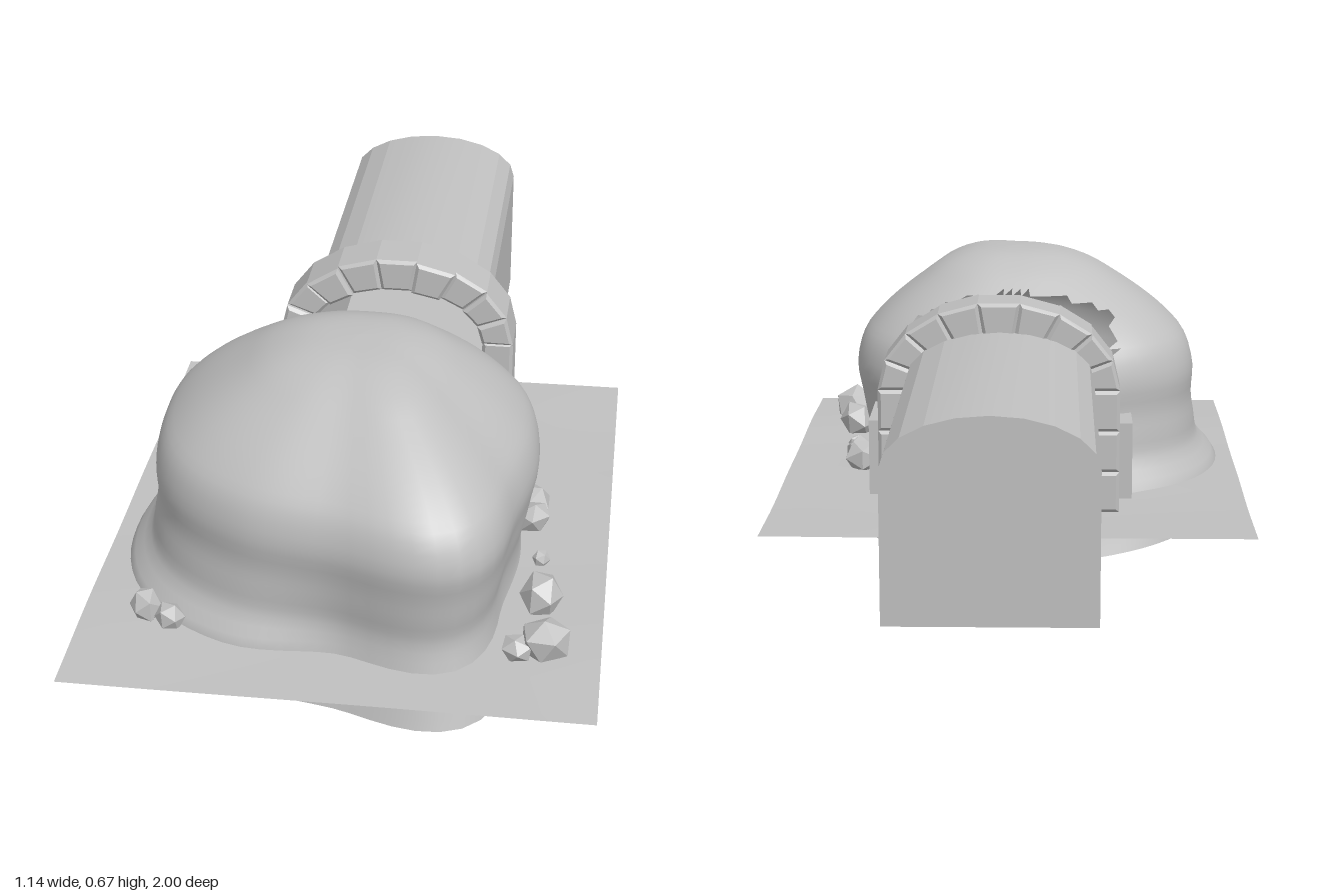
import * as THREE from 'three';
import { toCreasedNormals } from 'three/addons/utils/BufferGeometryUtils.js';

const stone = new THREE.MeshStandardMaterial({ color: 0xc0c0c0, side: THREE.DoubleSide });
stone.name = 'grey stone';

const GROUND = 0.125;
const TUNNEL_X = 0.022;

function add(parent, name, geometry, x = 0, y = 0, z = 0) {
  const mesh = new THREE.Mesh(geometry, stone);
  mesh.name = name;
  mesh.position.set(x, y, z);
  parent.add(mesh);
  return mesh;
}

// Flat facets
function faceted(geometry) {
  const g = geometry.index ? geometry.toNonIndexed() : geometry;
  g.computeVertexNormals();
  return g;
}

// Radius for every 30 degrees, from +x round towards +z
const BASE = [.43, .44, .57, .46, .46, .48, .49, .53, .57, .60, .54, .46];
const SKIRT = [.37, .40, .53, .43, .49, .53, .53, .53, .50, .60, .50, .40];
const BULGE = [.405, .43, .55, .44, .44, .46, .46, .48, .43, .40, .42, .42];

// Smooth periodic lookup of a footprint
function radius(list, turn) {
  const n = list.length, s = turn * n, i = Math.floor(s), t = s - i;
  const [a, b, c, d] = [-1, 0, 1, 2].map(k => list[(i + k + n) % n]);
  return b + 0.5 * t * (c - a + t * (2 * a - 5 * b + 4 * c - d + t * (3 * (b - c) + d - a)));
}

// Lobed hill, cut open at the back for the tunnel mouth
function hillGeometry() {
  // height, then the share of each footprint
  const levels = [
    [0, 1, 0, 0], [.07, .4, .6, 0], [.125, 0, 1, 0], [.19, 0, .55, .41], [.25, 0, .3, .67],
    [.31, 0, .1, .88], [.38, 0, 0, 1], [.45, 0, 0, .96], [.5, 0, 0, .87], [.55, 0, 0, .74],
    [.6, 0, 0, .58], [.64, 0, 0, .43], [.667, 0, 0, .24], [.673, 0, 0, 0],
  ];
  const cols = 72, rows = (levels.length - 1) * 3;
  const pos = [], index = [];
  for (let i = 0; i < cols; i++) {
    const a = i / cols * Math.PI * 2;
    const curve = new THREE.CatmullRomCurve3(levels.map(([y, b, s, u]) => {
      const r = b * radius(BASE, i / cols) + s * radius(SKIRT, i / cols) + u * radius(BULGE, i / cols);
      return new THREE.Vector3(r * Math.cos(a), y, 0.4 + r * Math.sin(a));
    }), false, 'catmullrom');
    for (let j = 0; j <= rows; j++) pos.push(...curve.getPoint(j / rows).toArray());
  }
  const at = (i, j) => (i % cols) * (rows + 1) + j;
  for (let i = 0; i < cols; i++) {
    for (let j = 0; j < rows; j++) {
      const q = [at(i, j), at(i, j + 1), at(i + 1, j + 1), at(i + 1, j)];
      for (const tri of [[q[0], q[1], q[3]], [q[1], q[2], q[3]]]) {
        const mid = k => tri.reduce((sum, v) => sum + pos[v * 3 + k], 0) / 3;
        const opening = Math.abs(mid(0)) < 0.25 && mid(2) < 0.155 && mid(1) > 0.07 && mid(1) < 0.615;
        if (!opening) index.push(...tri);
      }
    }
  }
  const g = new THREE.BufferGeometry();
  g.setAttribute('position', new THREE.Float32BufferAttribute(pos, 3));
  g.setIndex(index);
  g.computeVertexNormals();
  return g;
}

// Gently uneven ground sheet
function groundGeometry() {
  const g = new THREE.PlaneGeometry(1.14, 1.4, 16, 20).rotateX(-Math.PI / 2).translate(0, 0, 0.3);
  const p = g.attributes.position;
  for (let i = 0; i < p.count; i++) {
    const x = p.getX(i), z = p.getZ(i);
    p.setY(i, GROUND + 0.003 * Math.sin(x * 6 + 1) * Math.cos(z * 5) + 0.002 * Math.sin(z * 11));
  }
  g.computeVertexNormals();
  return g;
}

// Half-round-topped outline: straight jambs, then an elliptical arc
function archPoints(half, spring, rise, jambs, arcs) {
  const right = [];
  for (let i = 0; i < jambs; i++) right.push([half, GROUND + (spring - GROUND) * i / jambs]);
  const left = right.map(([x, y]) => [-x, y]).reverse();
  const arc = [];
  for (let i = 0; i <= arcs; i++) {
    const a = Math.PI * i / arcs;
    arc.push([half * Math.cos(a), spring + rise * Math.sin(a)]);
  }
  return [...right, ...arc, ...left].map(([x, y]) => new THREE.Vector2(x, y));
}

// Hollow tunnel, open at the mouth and closed at the far end
function addTunnel(parent) {
  const outline = archPoints(0.22, 0.45, 0.11, 1, 10);
  const pos = [];
  outline.forEach((p, i) => {
    const q = outline[(i + 1) % outline.length];
    pos.push(p.x, p.y, -0.1, p.x, p.y, -1, q.x, q.y, -0.1);
    pos.push(q.x, q.y, -0.1, p.x, p.y, -1, q.x, q.y, -1);
  });
  const shell = new THREE.BufferGeometry();
  shell.setAttribute('position', new THREE.Float32BufferAttribute(pos, 3));
  add(parent, 'tunnelShell', toCreasedNormals(shell, 0.2), TUNNEL_X);
  const end = new THREE.ShapeGeometry(new THREE.Shape(outline)).rotateY(Math.PI);
  add(parent, 'tunnelEnd', end, TUNNEL_X, 0, -1);
}

// Portal arch of separate wedge blocks
function addPortal(parent) {
  const portal = new THREE.Group();
  portal.name = 'portalArch';
  parent.add(portal);
  const inner = archPoints(0.21, 0.42, 0.13, 3, 9);
  const outer = archPoints(0.285, 0.42, 0.21, 3, 9);
  for (let i = 0; i < inner.length - 1; i++) {
    const block = new THREE.Shape([inner[i], outer[i], outer[i + 1], inner[i + 1]]);
    const depth = 0.12 + 0.008 * Math.sin(i * 2.3);
    const g = new THREE.ExtrudeGeometry(block, {
      depth: depth - 0.008, bevelEnabled: true, bevelSegments: 1,
      bevelThickness: 0.008, bevelSize: 0.008, bevelOffset: -0.008,
    });
    add(portal, 'archBlock', faceted(g), TUNNEL_X + 0.003, 0, -0.175);
  }
}

// Angular boulders: x, z, size
const ROCKS = [
  [.38, .22, .05], [.39, .28, .042], [.42, .43, .02], [.43, .60, .052],
  [.45, .77, .055], [.39, .79, .035], [-.43, .74, .04], [-.37, .77, .034],
];

export function createModel() {
  const model = new THREE.Group();
  model.name = 'tunnelHill';
  add(model, 'hill', hillGeometry());
  add(model, 'ground', groundGeometry());
  addTunnel(model);
  addPortal(model);

  // Retaining walls beside the mouth
  add(model, 'leftWall', new THREE.BoxGeometry(0.11, 0.19, 0.21), 0.29, 0.215, 0.075);
  add(model, 'rightWall', new THREE.BoxGeometry(0.10, 0.19, 0.23), -0.245, 0.215, 0.065);

  ROCKS.forEach(([x, z, size], i) => {
    const rock = add(model, 'rock', faceted(new THREE.IcosahedronGeometry(size, 0)), x, GROUND + size * 0.6, z);
    rock.scale.set(1.05, 0.9, 1.1);
    rock.rotation.set(i * 1.3, i * 2.1, i * 0.7);
  });
  return model;
}
